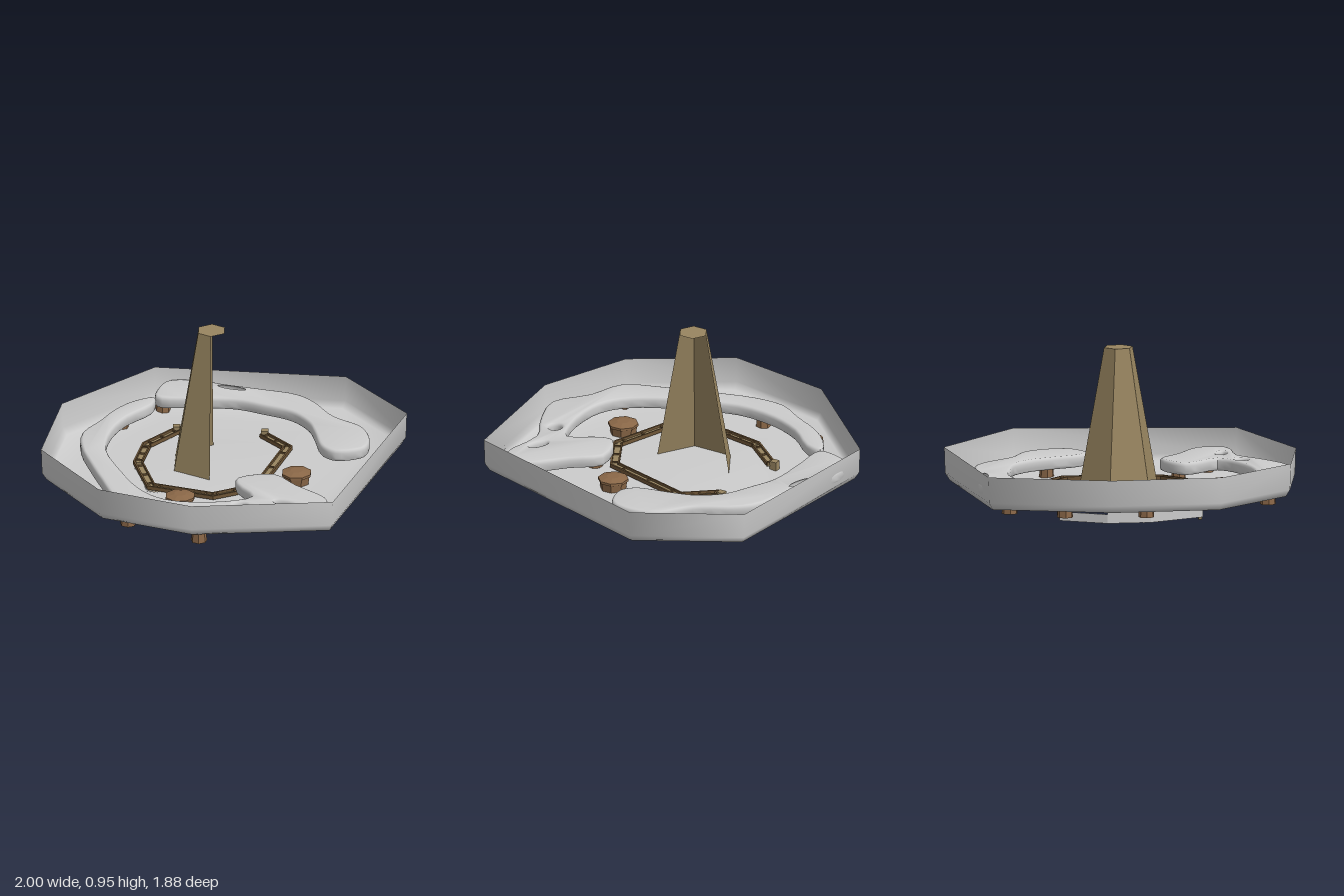
import * as THREE from 'three';
import { toCreasedNormals } from 'three/addons/utils/BufferGeometryUtils.js';

const makeMat = (name, color) => {
  const m = new THREE.MeshStandardMaterial({ color, side: THREE.DoubleSide });
  m.name = name;
  return m;
};

export function createModel() {
  const group = new THREE.Group();
  const pale = makeMat('pale stone', 0xcccccc);
  const tan = makeMat('tan wood', 0x988560);
  const brown = makeMat('brown wood', 0x8b6848);
  const dark = makeMat('dark wood', 0x6f5637);

  const add = (name, geo, mat, x = 0, y = 0, z = 0, parent = group) => {
    const mesh = new THREE.Mesh(geo, mat);
    mesh.name = name;
    mesh.position.set(x, y, z);
    parent.add(mesh);
    return mesh;
  };
  const faceted = (geo) => toCreasedNormals(geo, 0.3);

  // Basin: eight-sided sheet, upright wall then a shallow floor
  const rim = [[-0.42, -0.94], [-0.91, -0.38], [-1, 0.23], [-0.66, 0.74],
    [-0.14, 0.94], [0.64, 0.85], [1, -0.33], [0.64, -0.85]];
  const rings = [[1, 0.345], [0.995, 0.2], [0.97, 0.16], [0.76, 0.13], [0.4, 0.143]];
  const pos = [], idx = [];
  for (const [s, y] of rings) {
    for (const [x, z] of rim) pos.push(x * s, y - Math.max(0, -z * s - 0.35) * 0.05, z * s);
  }
  pos.push(0, 0.148, 0);
  const n = rim.length, centre = rings.length * n;
  for (let r = 0; r < rings.length; r++) {
    for (let i = 0; i < n; i++) {
      const a = r * n + i, b = r * n + (i + 1) % n;
      if (r === rings.length - 1) idx.push(a, b, centre);
      else idx.push(a, b, a + n, b, b + n, a + n);
    }
  }
  const basin = new THREE.BufferGeometry();
  basin.setAttribute('position', new THREE.Float32BufferAttribute(pos, 3));
  basin.setIndex(idx);
  basin.computeVertexNormals();
  add('basin', basin, pale);

  // Winding raised platforms with soft edges and holes
  const platform = (name, pts, holes) => {
    const curve = new THREE.CatmullRomCurve3(
      pts.map(([x, z]) => new THREE.Vector3(x, -z, 0)), true);
    const shape = new THREE.Shape(curve.getPoints(90).slice(0, -1).map((p) => new THREE.Vector2(p.x, p.y)));
    for (const [x, z, rx, rz, turn] of holes) {
      shape.holes.push(new THREE.Path().absellipse(x, -z, rx, rz, 0, Math.PI * 2, true, turn));
    }
    const geo = new THREE.ExtrudeGeometry(shape, {
      depth: 0.03, bevelEnabled: true, bevelThickness: 0.02, bevelSize: 0.015,
      bevelOffset: -0.015, bevelSegments: 3, curveSegments: 10,
    });
    geo.rotateX(-Math.PI / 2);
    add(name, toCreasedNormals(geo, 0.9), pale, 0, 0.205, 0);
  };
  platform('backPlatform', [[-0.4, -0.69], [-0.39, -0.83], [-0.34, -0.91], [-0.19, -0.92],
    [-0.02, -0.87], [0.17, -0.82], [0.37, -0.76], [0.47, -0.67], [0.59, -0.48], [0.75, -0.35],
    [0.8, -0.19], [0.77, -0.07], [0.62, -0.02], [0.54, -0.08], [0.49, -0.27], [0.45, -0.4],
    [0.35, -0.53], [0.19, -0.61], [0.04, -0.67], [-0.18, -0.68]],
  [[0.01, -0.82, 0.1, 0.035, -0.3]]);
  platform('frontPlatform', [[-0.41, -0.69], [-0.53, -0.63], [-0.63, -0.51], [-0.7, -0.37],
    [-0.79, -0.21], [-0.79, -0.03], [-0.73, 0.19], [-0.66, 0.4], [-0.54, 0.69], [-0.34, 0.77],
    [-0.15, 0.9], [0.09, 0.83], [0.27, 0.74], [0.55, 0.77], [0.6, 0.67], [0.59, 0.59],
    [0.42, 0.43], [0.29, 0.29], [0.09, 0.35], [0.09, 0.43], [0.18, 0.59], [0.03, 0.66],
    [-0.21, 0.67], [-0.34, 0.62], [-0.45, 0.5], [-0.55, 0.29], [-0.65, 0], [-0.63, -0.24],
    [-0.55, -0.43], [-0.42, -0.59]],
  [[0.12, 0.71, 0.04, 0.035, 0], [0.36, 0.67, 0.06, 0.025, -0.45]]);

  // Short posts carrying the platforms
  [[0.59, -0.27], [0.23, 0.38], [0.5, 0.63], [-0.1, 0.86], [-0.5, 0.66],
    [-0.72, -0.12], [-0.59, -0.55], [-0.37, -0.8]].forEach(([x, z]) => {
    add('platformPost', faceted(new THREE.CylinderGeometry(0.035, 0.045, 0.12, 7)), brown, x, 0.16, z);
  });

  // Eight-sided tubs with a low peaked lid
  for (const [x, z] of [[-0.22, 0.48], [0.41, 0.15]]) {
    const tub = new THREE.Group();
    tub.name = 'tub';
    tub.position.set(x, 0, z);
    group.add(tub);
    const part = (name, rt, rb, h, y) => {
      const g = new THREE.CylinderGeometry(rt, rb, h, 8, 1, false, Math.PI / 8);
      add(name, toCreasedNormals(g, 0.1), brown, 0, y, 0, tub);
    };
    part('tubBody', 0.078, 0.07, 0.065, 0.153);
    part('tubRim', 0.085, 0.085, 0.014, 0.191);
    part('tubLid', 0.035, 0.085, 0.012, 0.204);
  }

  // Tower: three sloping sides, open to the left, with full six-sided ends
  const tower = new THREE.Group();
  tower.name = 'tower';
  tower.position.set(-0.07, 0, -0.07);
  group.add(tower);
  add('towerWalls', faceted(new THREE.CylinderGeometry(0.083, 0.234, 0.81, 3, 1, true, Math.PI, Math.PI)),
    tan, 0, 0.545, 0, tower);
  const cap = (r, turn) => new THREE.CircleGeometry(r, 6, Math.PI / 2).rotateX(turn);
  add('towerTop', cap(0.083, -Math.PI / 2), tan, 0, 0.95, 0, tower);
  add('towerBase', cap(0.234, Math.PI / 2), tan, 0, 0.125, 0, tower);

  // Sunken enclosure, open at the back; each side has walls, ledge, rails and pegs
  const ring = [[-0.28, -0.48], [-0.46, -0.26], [-0.5, -0.02], [-0.41, 0.31],
    [-0.04, 0.43], [0.22, 0.29], [0.37, -0.25], [0.21, -0.44]];
  for (let i = 0; i < ring.length - 1; i++) {
    const [ax, az] = ring[i], [bx, bz] = ring[i + 1];
    const L = Math.hypot(bx - ax, bz - az);
    const end = i === 0 || i === ring.length - 2;
    const side = new THREE.Group();
    side.name = 'enclosureSide';
    side.position.set((ax + bx) / 2, 0, (az + bz) / 2);
    side.rotation.y = -Math.atan2(bz - az, bx - ax);
    group.add(side);
    const box = (name, mat, w, y0, y1, d, x, z) =>
      add(name, new THREE.BoxGeometry(w, y1 - y0, d), mat, x, (y0 + y1) / 2, z, side);
    box('outerWall', pale, L, 0.03, end ? 0.08 : 0.14, 0.006, 0, -0.003);
    if (!end) box('innerWall', tan, L - 0.02, 0.05, 0.14, 0.006, 0, -0.012);
    box('ledge', tan, L - 0.02, 0.15, 0.158, 0.045, 0, -0.025);
    box('outerRail', dark, L, 0.15, 0.172, 0.01, 0, -0.004);
    box('innerRail', dark, L - 0.03, 0.15, 0.172, 0.008, 0, -0.046);
    for (const t of [-0.35, 0, 0.35]) {
      box('peg', dark, 0.014, 0.028, 0.05, 0.014, L * t, -0.015);
      box('crossBrace', dark, 0.01, 0.158, 0.166, 0.04, L * t, -0.025);
    }
    if (i === 3) box('hangingPlank', tan, 0.2, 0, 0.035, 0.02, 0, -0.015);
    if (i === 4) box('hangingPlank', tan, 0.17, 0, 0.035, 0.02, 0, -0.015);
    if (i === 5) box('hangingPlank', tan, 0.11, 0.022, 0.035, 0.02, -0.1, -0.015);
  }

  // Gate posts at the open ends
  for (const [x, z] of [[-0.28, -0.47], [0.21, -0.43]]) {
    add('gatePost', new THREE.BoxGeometry(0.04, 0.12, 0.04), tan, x, 0.12, z);
  }
  return group;
}
